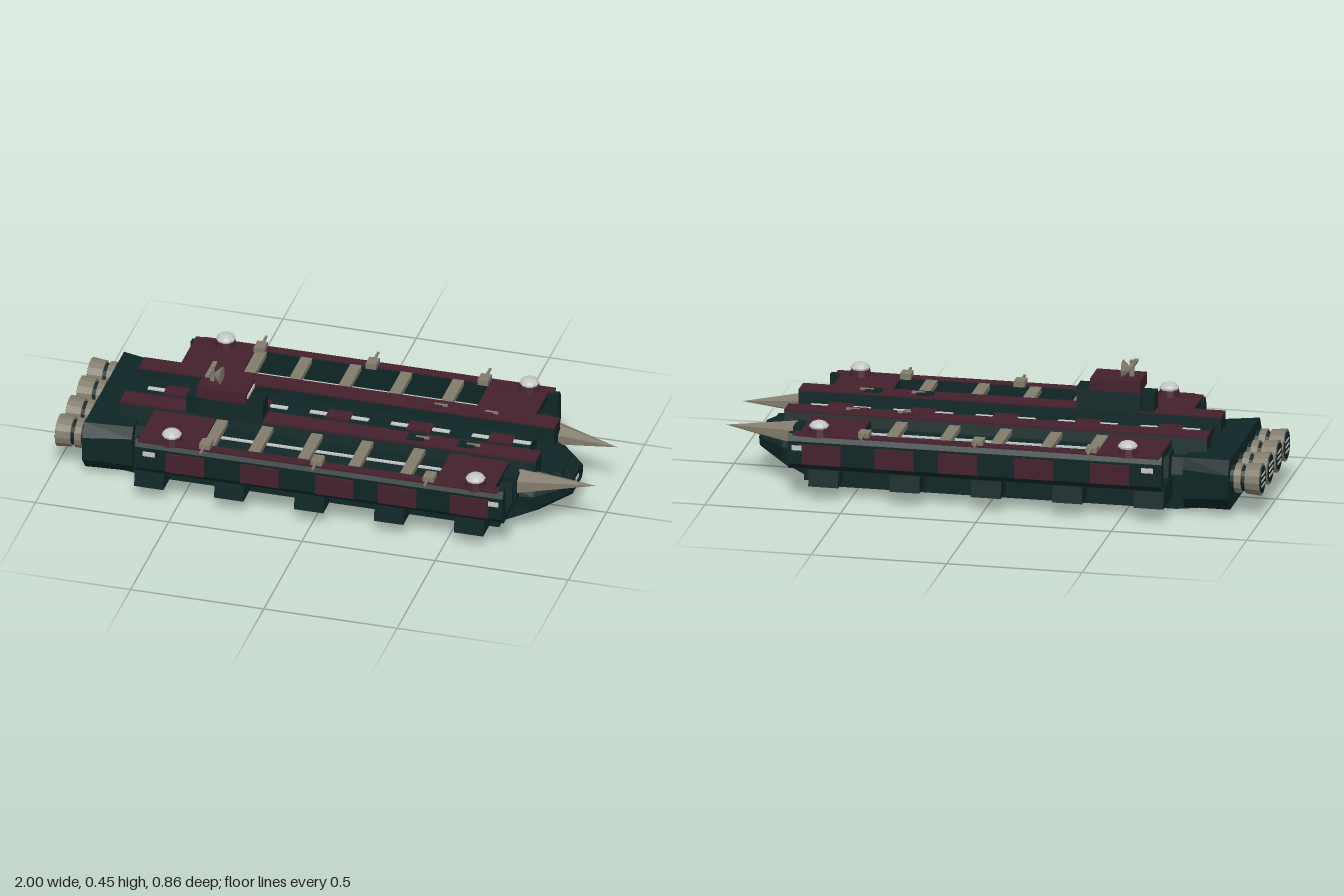
import * as THREE from 'three';

const mat = (name, color) => {
  const m = new THREE.MeshStandardMaterial({ color });
  m.name = name;
  return m;
};

export function createModel() {
  const ship = new THREE.Group();
  ship.name = 'carrierShip';
  const teal = mat('dark teal hull', 0x0f2626);
  const wine = mat('burgundy plating', 0x45212d);
  const tan = mat('weathered tan', 0x827b6c);
  const white = mat('pale grey', 0xc4c6c6);

  const add = (name, geo, m, parent = ship) => {
    const g = geo.index ? geo.toNonIndexed() : geo;
    g.computeVertexNormals(); // faceted look
    const mesh = new THREE.Mesh(g, m);
    mesh.name = name;
    parent.add(mesh);
    return mesh;
  };
  // box given by its limits on each axis
  const box = (name, m, x0, x1, y0, y1, z0, z1) =>
    add(name, new THREE.BoxGeometry(x1 - x0, y1 - y0, Math.abs(z1 - z0))
      .translate((x0 + x1) / 2, (y0 + y1) / 2, (z0 + z1) / 2), m);
  // [z, y] outline pushed along x
  const prism = (name, m, pts, x0, x1, side = 1) => {
    const shape = new THREE.Shape(pts.map(([z, y]) => new THREE.Vector2(-z * side, y)));
    const g = new THREE.ExtrudeGeometry(shape, { depth: x1 - x0, bevelEnabled: false });
    return add(name, g.rotateY(Math.PI / 2).translate(x0, 0, 0), m);
  };
  // symmetric loft: each section is [x, [z, y] ... from keel to deck]
  const loft = (name, m, sections) => {
    const rings = sections.map(([x, ...half]) =>
      [...half, ...half.map(([z, y]) => [-z, y]).reverse()].map(([z, y]) => [x, y, z]));
    const n = rings[0].length, pos = [];
    const tri = (...p) => p.forEach(v => pos.push(...v));
    for (let i = 0; i < rings.length - 1; i++) {
      for (let j = 0; j < n; j++) {
        const k = (j + 1) % n, a = rings[i], b = rings[i + 1];
        tri(a[j], b[j], a[k]);
        tri(b[j], b[k], a[k]);
      }
    }
    const first = rings[0], last = rings[rings.length - 1];
    for (let j = 1; j < n - 1; j++) {
      tri(first[0], first[j], first[j + 1]);
      tri(last[0], last[j + 1], last[j]);
    }
    const g = new THREE.BufferGeometry();
    g.setAttribute('position', new THREE.Float32BufferAttribute(pos, 3));
    return add(name, g, m);
  };

  // main hull with tapered bow
  loft('hull', teal, [
    [-0.85, [0.1, 0.018], [0.22, 0.03], [0.22, 0.14], [0.2, 0.2]],
    [-0.68, [0.1, 0.0], [0.22, 0.01], [0.22, 0.14], [0.2, 0.2]],
    [0.62, [0.1, 0.0], [0.22, 0.01], [0.22, 0.14], [0.2, 0.2]],
    [0.78, [0.12, 0.045], [0.19, 0.08], [0.2, 0.14], [0.12, 0.195]],
    [0.89, [0.06, 0.095], [0.075, 0.11], [0.08, 0.135], [0.06, 0.155]],
  ]);
  prism('bowBridge', teal, [[0.085, 0.14], [0.07, 0.18], [-0.07, 0.18], [-0.085, 0.14]], 0.74, 0.85);
  box('bowWindow', white, 0.888, 0.893, 0.125, 0.138, -0.015, 0.02);

  // stern block and engines
  loft('engineBlock', teal, [
    [-0.885, [0.25, 0.03], [0.29, 0.08], [0.29, 0.17], [0.26, 0.22]],
    [-0.71, [0.22, 0.02], [0.25, 0.06], [0.25, 0.17], [0.23, 0.21]],
  ]);
  for (const z of [-0.21, -0.075, 0.07, 0.205]) {
    const engine = new THREE.Group();
    engine.name = 'engine';
    engine.position.set(0, 0.14, z);
    ship.add(engine);
    const ring = (name, m, r0, r1, x0, x1, open = false) =>
      add(name, new THREE.CylinderGeometry(r1, r0, x1 - x0, 14, 1, open)
        .rotateZ(-Math.PI / 2).translate((x0 + x1) / 2, 0, 0), m, engine);
    ring('engineCollar', teal, 0.045, 0.05, -0.95, -0.86);
    ring('engineFrontBand', tan, 0.055, 0.055, -0.925, -0.9);
    ring('engineNozzle', tan, 0.06, 0.055, -0.995, -0.94);
    ring('engineCore', teal, 0.05, 0.05, -0.998, -0.97);
    for (const dy of [-0.02, 0, 0.02]) {
      add('exhaustSlat', new THREE.BoxGeometry(0.004, 0.008, 0.06).translate(-0.998, dy, 0), white, engine);
    }
  }

  // central spine with lit panels
  box('spine', teal, -0.76, 0.72, 0.19, 0.24, -0.07, 0.07);
  for (let i = 0; i < 5; i++) {
    const x = -0.61 + i * 0.304;
    box('spinePanel', wine, x - 0.045, x + 0.045, 0.24, 0.248, -0.03, 0.03);
    box('spineLights', white, x - 0.11, x + 0.11, 0.238, 0.245, -0.009, 0.009);
  }

  for (const s of [1, -1]) {
    // top rails beside the spine
    prism('railBody', teal, [[0.08, 0.19], [0.085, 0.264], [0.155, 0.264], [0.17, 0.19]], -0.78, 0.78, s);
    box('railPlating', wine, -0.78, 0.78, 0.262, 0.27, s * 0.085, s * 0.162);
    for (const x of [0.32, 0.51]) {
      box('railHatch', s > 0 ? teal : wine, x - 0.03, x + 0.03, 0.268, 0.277, s * 0.1, s * 0.14);
      box('railGun', tan, x, x + 0.05, 0.272, 0.28, s * 0.117, s * 0.124);
    }

    // hangar pod: floor, inner sloped wall and outer wall
    box('podFloor', teal, -0.66, 0.72, 0.118, 0.14, s * 0.16, s * 0.37);
    box('podKeel', teal, -0.64, 0.68, 0.05, 0.12, s * 0.2, s * 0.29);
    prism('podInnerWall', teal, [[0.15, 0.13], [0.27, 0.13], [0.25, 0.22], [0.15, 0.22]], -0.66, 0.72, s);
    prism('podOuterWall', teal, [[0.345, 0.12], [0.37, 0.12], [0.385, 0.14], [0.385, 0.225], [0.37, 0.25], [0.345, 0.25]], -0.66, 0.72, s);
    box('podWallCap', wine, -0.62, 0.7, 0.247, 0.254, s * 0.35, s * 0.387);
    box('deckEdge', wine, -0.62, 0.7, 0.138, 0.144, s * 0.265, s * 0.3);
    for (const [z, y] of [[0.235, 0.22], [0.295, 0.14]]) {
      box('deckLights', white, -0.42, 0.46, y, y + 0.006, s * (z - 0.006), s * (z + 0.006));
    }
    box('deckPanel', wine, -0.31, -0.26, 0.139, 0.148, s * 0.25, s * 0.28);

    // pod roofs at both ends
    for (const [x0, x1] of [[-0.65, -0.42], [0.46, 0.68]]) {
      box('podRoof', teal, x0, x1, 0.222, 0.246, s * 0.15, s * 0.36);
      box('podRoofPlating', wine, x0, x1, 0.245, 0.252, s * 0.16, s * 0.385);
    }
    // roof cross beams
    for (const x of [-0.395, -0.225, -0.04, 0.15, 0.345]) {
      box('crossBeam', tan, x - 0.021, x + 0.021, 0.232, 0.252, s * 0.16, s * 0.352);
    }
    // flared support ribs under the pod
    for (const x of [-0.61, -0.31, -0.01, 0.29, 0.59]) {
      prism('podRib', teal, [[0.2, 0.055], [0.378, 0.055], [0.365, 0.135], [0.2, 0.135]], x - 0.055, x + 0.055, s);
    }
    // outer side panels and windows
    for (const x of [-0.47, -0.19, 0.09, 0.325, 0.595]) {
      box('sidePanel', wine, x - 0.072, x + 0.072, 0.142, 0.216, s * 0.38, s * 0.394);
    }
    for (const x of [-0.605, 0.685]) {
      box('sideWindow', white, x - 0.025, x + 0.02, 0.192, 0.21, s * 0.383, s * 0.389);
    }

    // domed turrets
    for (const x of [-0.53, 0.61]) {
      const turret = new THREE.Group();
      turret.name = 'domeTurret';
      turret.position.set(x, 0, s * 0.355);
      ship.add(turret);
      add('turretBase', new THREE.CylinderGeometry(0.033, 0.042, 0.035, 10).translate(0, 0.263, 0), wine, turret);
      add('turretDome', new THREE.LatheGeometry([
        [0.034, 0.275], [0.036, 0.283], [0.026, 0.294], [0.014, 0.299], [0, 0.3],
      ].map(p => new THREE.Vector2(...p)), 10), white, turret);
    }
    // small side guns
    for (const x of [-0.4, 0.02, 0.44]) {
      box('gunMount', tan, x - 0.02, x + 0.02, 0.25, 0.272, s * 0.335, s * 0.385);
      box('gunBarrel', tan, x - 0.004, x + 0.004, 0.262, 0.269, s * 0.38, s * 0.432);
    }

    // bow spike: hexagonal cone leaning toward the centreline
    const spike = new THREE.ConeGeometry(1, 1, 6).translate(0, 0.5, 0);
    const p = spike.attributes.position;
    for (let i = 0; i < p.count; i++) {
      const t = p.getY(i), u = p.getX(i), v = p.getZ(i);
      p.setXYZ(i, 0.725 + 0.275 * t, 0.192 + 0.047 * v, s * (0.182 - 0.04 * t) + 0.06 * u);
    }
    add('bowSpike', spike, tan);
    box('spikeSocket', teal, 0.66, 0.73, 0.14, 0.235, s * 0.12, s * 0.24);
  }

  // command tower on the left rail
  prism('towerBase', teal, [[0.083, 0.262], [0.172, 0.262], [0.16, 0.348], [0.092, 0.348]], -0.48, -0.245);
  box('towerRear', teal, -0.53, -0.47, 0.265, 0.335, 0.09, 0.165);
  box('towerHead', wine, -0.485, -0.3, 0.345, 0.39, 0.065, 0.185);
  box('towerWindow', white, -0.302, -0.296, 0.361, 0.375, 0.08, 0.17);
  box('mast', tan, -0.45, -0.435, 0.385, 0.45, 0.118, 0.132);
  add('dish', new THREE.CylinderGeometry(0.035, 0.012, 0.025, 10).rotateZ(-Math.PI / 2)
    .translate(-0.42, 0.415, 0.125), tan);
  box('antennaBar', tan, -0.455, -0.44, 0.43, 0.44, 0.072, 0.178);

  return ship;
}
